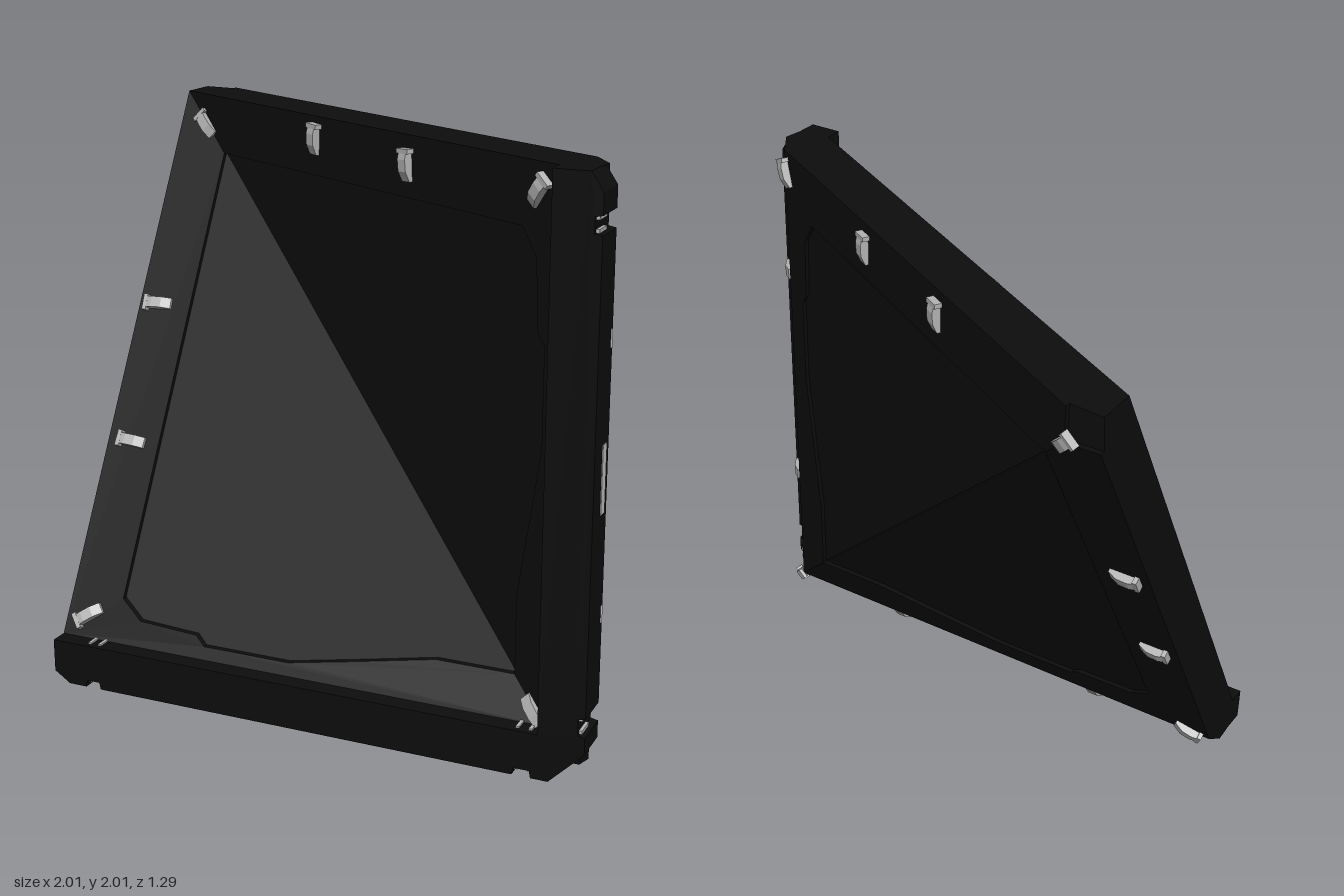
import * as THREE from 'three';

const SLOPE = 0.565, FRONT = 0.1, BACK = -0.12, STEP = 0.02;
const frontZ = x => FRONT + SLOPE * x;
const backZ = x => BACK + SLOPE * x;

const material = (name, color) => {
  const m = new THREE.MeshStandardMaterial({ color });
  m.name = name;
  return m;
};

const shapeOf = pts => new THREE.Shape(pts.map(p => new THREE.Vector2(p[0], p[1])));

// Reflection across the diagonal plane x + y = 1, with winding restored
function mirrored(geo) {
  const g = geo.index ? geo.toNonIndexed() : geo.clone();
  g.applyMatrix4(new THREE.Matrix4().set(0, -1, 0, 1, -1, 0, 0, 1, 0, 0, 1, 0, 0, 0, 0, 1));
  const p = g.attributes.position;
  const a = new THREE.Vector3(), b = new THREE.Vector3();
  for (let i = 0; i < p.count; i += 3) {
    a.fromBufferAttribute(p, i + 1);
    b.fromBufferAttribute(p, i + 2);
    p.setXYZ(i + 1, b.x, b.y, b.z);
    p.setXYZ(i + 2, a.x, a.y, a.z);
  }
  g.computeVertexNormals();
  return g;
}

// Cross-section in (x, z), run from the diagonal up to y = 2
function mitredSlab(profile) {
  const g = new THREE.ExtrudeGeometry(shapeOf(profile.map(([x, z]) => [x, -z])), { depth: 1, bevelEnabled: false });
  g.rotateX(-Math.PI / 2);
  const p = g.attributes.position;
  for (let i = 0; i < p.count; i++) p.setY(i, p.getY(i) > 0.5 ? 2 : 1 - p.getX(i));
  g.computeVertexNormals();
  return g;
}

// Plate drawn in (x, y), then sheared on to the sloping plane
function plate(pts, z0, z1, slope = 0) {
  const g = new THREE.ExtrudeGeometry(shapeOf(pts), { depth: z1 - z0, bevelEnabled: false });
  const p = g.attributes.position;
  for (let i = 0; i < p.count; i++) p.setZ(i, p.getZ(i) + z0 + slope * p.getX(i));
  g.computeVertexNormals();
  return g;
}

function box(w, h, d, x, y, z) {
  return new THREE.BoxGeometry(w, h, d).translate(x, y, z);
}

// Arched clip with a wider foot, standing on a surface with normal n, pointing along d
function clipParts(pos, n, d) {
  const arm = new THREE.ExtrudeGeometry(
    shapeOf([[-0.055, 0], [0.055, 0], [0.055, 0.022], [0.02, 0.03], [-0.02, 0.028], [-0.055, 0.012]]),
    { depth: 0.04, bevelEnabled: false });
  arm.translate(0, 0, -0.02);
  const foot = box(0.016, 0.026, 0.06, 0.047, 0.013, 0);
  const up = new THREE.Vector3(...n).normalize();
  const along = new THREE.Vector3(...d);
  along.addScaledVector(up, -along.dot(up)).normalize();
  const side = new THREE.Vector3().crossVectors(along, up);
  const m = new THREE.Matrix4().makeBasis(along, up, side).setPosition(...pos);
  return [arm.applyMatrix4(m), foot.applyMatrix4(m)];
}

export function createModel() {
  const model = new THREE.Group();
  model.name = 'foldedArmourPanel';
  const black = material('black', 0x0d0d0d);
  const metal = material('lightMetal', 0xb4b4b4);
  const lamp = material('paleStrip', 0xc8c8c8);

  const add = (name, geo, mat, mirror = true) => {
    for (const g of mirror ? [geo, mirrored(geo)] : [geo]) {
      const mesh = new THREE.Mesh(g, mat);
      mesh.name = name;
      model.add(mesh);
    }
  };

  // Folded core, two mitred halves
  add('corePanel', mitredSlab([
    [-1, frontZ(-1) - STEP], [0.84, frontZ(0.84) - STEP], [0.96, 0.56], [0.97, 0.49],
    [0.9, backZ(0.9)], [0.86, backZ(0.86) + STEP], [-0.88, backZ(-0.88) + STEP], [-1, -0.61],
  ]), black);

  // Raised rims around the inset panel
  const inner = [[-0.79, 1.79], [0.7, 1.79], [0.76, 1.7], [0.77, 1.47], [0.8, 1.43],
    [0.8, 1.1], [0.76, 0.86], [0.71, 0.57], [0.71, 0.29]];
  add('frontRim', plate([[-1, 2], ...inner, [0.84, 0.16], [0.84, 2]],
    FRONT - STEP, FRONT, SLOPE), black);
  add('backRim', plate([[-0.88, 2], [-0.88, 1.88], ...inner, [0.9, 0.1], [0.9, 2]],
    BACK, BACK + STEP, SLOPE), black);

  // Mating lip, notched at the corner seams
  add('matingLip', plate([
    [0.84, 2], [0.96, 2], [1, 1.94], [1, 1.87], [0.975, 1.865], [0.975, 1.815], [1, 1.81],
    [1, 0.245], [0.975, 0.24], [0.975, 0.185], [1, 0.18], [1, 0.12], [0.94, 0.06], [0.84, 0.16],
  ], 0.5, 0.64), black);

  // Straps in the seams and rivets on the sloping edge
  for (const y of [1.86, 1.82, 0.235, 0.19]) {
    add('seamStrap', box(0.012, 0.012, 0.07, 0.98, y, 0.59), metal);
    add('innerSeamStrap', box(0.008, 0.012, 0.05, 0.838, y, 0.595), metal);
  }
  for (const y of [1.91, 1.87, 1.83, 0.2, 0.165, 0.13]) {
    add('rivet', box(0.02, 0.015, 0.015, 0.945, y, 0.46), metal);
  }

  // Pale strip in the middle of each outer edge
  add('edgeStrip', box(0.008, 0.23, 0.038, 0.999, 1.025, 0.545), lamp);

  // Clips: position, surface normal, direction, mirrored or not
  const nf = [-SLOPE, 0, 1], nb = [SLOPE, 0, -1];
  const creaseF = [-0.28, 0.28, 1], creaseB = [0.28, -0.28, -1];
  const clips = [
    [[-0.26, 1.92, frontZ(-0.26)], nf, [0.06, 1, 0], true],
    [[0.2, 1.9, frontZ(0.2)], nf, [-0.06, 1, 0], true],
    [[0.77, 1.91, frontZ(0.77)], nf, [0.7, 0.8, 0], true],
    [[-0.885, 1.885, frontZ(-0.885)], creaseF, [-1, 1, 0], false],
    [[0.8, 0.2, frontZ(0.8)], creaseF, [1, -1, 0], false],
    [[-0.18, 1.91, backZ(-0.18)], nb, [0, 1, 0], true],
    [[0.29, 1.91, backZ(0.29)], nb, [0, 1, 0], true],
    [[0.88, 1.92, backZ(0.88)], nb, [0.5, 1, 0], true],
    [[-0.88, 1.88, -0.61], creaseB, [-1, 1, 0], false],
    [[0.91, 0.09, 0.41], [0.5, -0.5, -0.7], [1, -1, 0], false],
    [[0.955, 1.47, 0.48], [0.85, 0, -0.5], [0.5, 0, 0.85], true],
    [[0.955, 0.56, 0.48], [0.85, 0, -0.5], [0.5, 0, 0.85], true],
  ];
  for (const [pos, n, d, mirror] of clips) {
    const [arm, foot] = clipParts(pos, n, d);
    add('clipArm', arm, metal, mirror);
    add('clipFoot', foot, metal, mirror);
  }
  return model;
}
